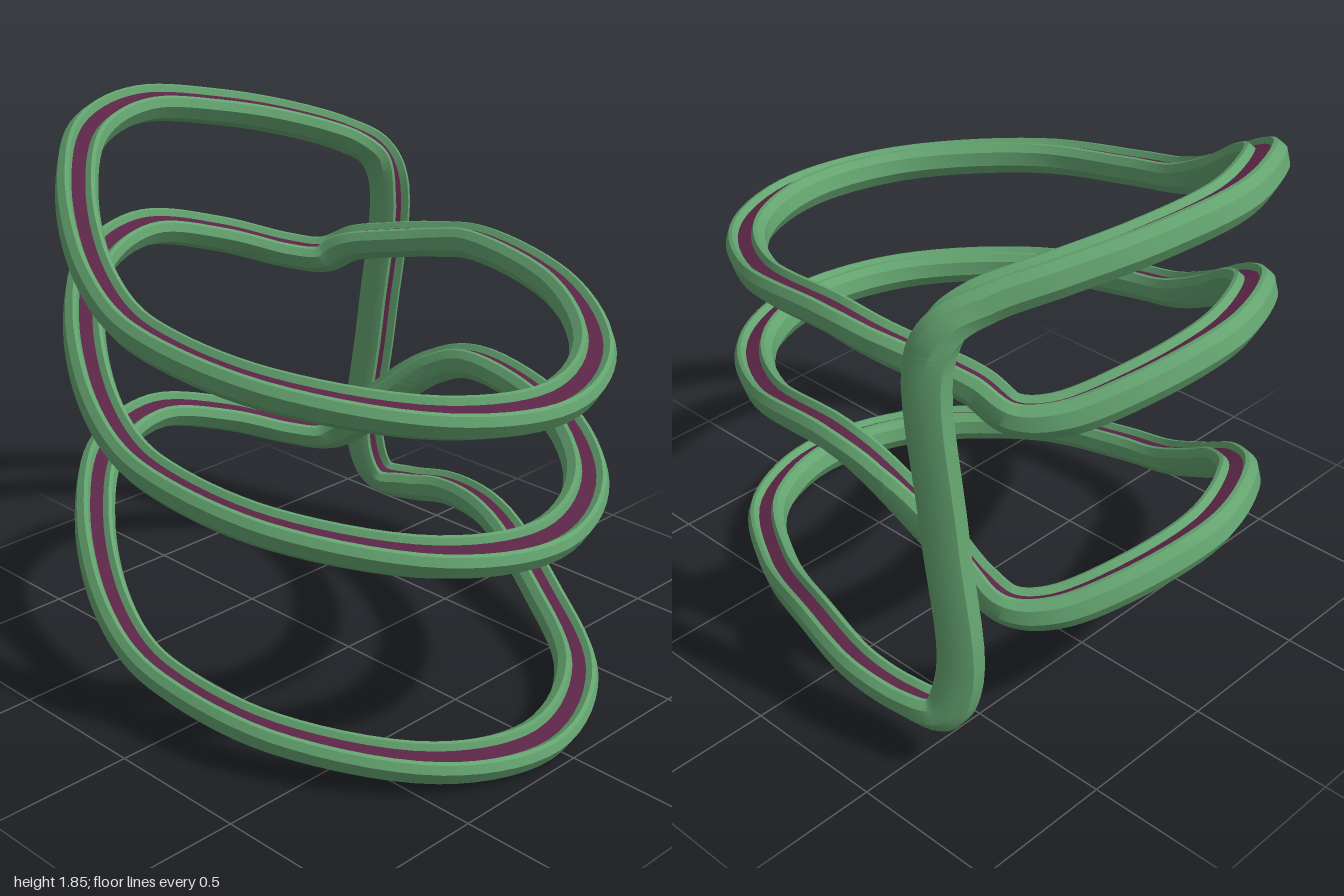
import * as THREE from 'three';
import { toCreasedNormals } from 'three/addons/utils/BufferGeometryUtils.js';

const V = (x, y, z) => new THREE.Vector3(x, y, z);

// One lap: back right -> right -> front -> left, climbing to the left
const LAP = [
  [0.4, 0.165, -0.56], [0.77, 0.1, -0.29], [0.92, 0.075, 0.08], [0.8, 0.097, 0.43],
  [0.4, 0.157, 0.73], [0, 0.21, 0.805], [-0.2, 0.255, 0.79], [-0.4, 0.36, 0.735],
  [-0.6, 0.505, 0.62], [-0.8, 0.628, 0.41], [-0.92, 0.655, 0.08],
];
const LAP_HEIGHTS = [0, 0.7, 1.14];
const LAP_UP = [0.38, 1, 0];
// The track is an oval: its section is wider along x in the same ratio
const OVAL = 1.28;

// Closed centre line with an up direction at every point
function buildPath() {
  const points = [], ups = [];
  const add = (p, up = LAP_UP) => { points.push(V(...p)); ups.push(V(...up)); };
  LAP_HEIGHTS.forEach((h, lap) => {
    LAP.forEach(([x, y, z]) => add([x, y + h, z]));
    if (lap === 2) return;
    // sharp back-left bend and ramp up to the next lap
    const next = LAP_HEIGHTS[lap + 1];
    const low = h + 0.56, high = next + 0.2;
    add([-0.85, h + 0.585, -0.2]);
    add([-0.72, h + 0.51, -0.4]);
    add([-0.61, h + 0.5, -0.48]);
    add([-0.5, low, -0.515]);
    add([-0.36, THREE.MathUtils.lerp(low, high, 0.42), -0.555]);
    add([-0.17, THREE.MathUtils.lerp(low, high, 0.86), -0.605]);
    add([0, next + 0.21, -0.62]);
  });
  // top corner, drop and return to the lowest lap
  add([-0.855, 1.75, -0.2]);
  add([-0.735, 1.69, -0.43]);
  add([-0.605, 1.62, -0.6]);
  add([-0.545, 1.555, -0.685], [0.8, 0.6, -0.2]);
  add([-0.52, 1.43, -0.725], [1, 0.1, 0]);
  add([-0.58, 0.9, -0.725], [1, 0.1, 0]);
  add([-0.64, 0.4, -0.725], [1, 0.1, 0]);
  add([-0.59, 0.245, -0.755], [0.7, 0.8, 0]);
  add([-0.45, 0.24, -0.79], [0.1, 1, 0]);
  add([-0.28, 0.268, -0.81], [0, 1, 0]);
  add([0, 0.275, -0.745], [0.1, 1, 0]);
  return { points, ups };
}

// Frames sampled along the path
function buildFrames() {
  const { points, ups } = buildPath();
  const path = new THREE.CatmullRomCurve3(points, true, 'centripetal');
  const upAt = (t) => {
    const f = t * ups.length, i = Math.floor(f) % ups.length;
    return ups[i].clone().lerp(ups[(i + 1) % ups.length], f - Math.floor(f));
  };
  const count = points.length * 7, frames = [];
  const stretch = V(OVAL, 1, 1);
  for (let i = 0; i < count; i++) {
    const t = i / count;
    const tangent = path.getTangent(t);
    const side = upAt(t).cross(tangent).normalize();
    const up = tangent.clone().cross(side).normalize();
    frames.push({ centre: path.getPoint(t), side: side.multiply(stretch), up: up.multiply(stretch) });
  }
  return frames;
}

// Sweep an open section, given anticlockwise, round the closed path
function sweep(frames, section) {
  const n = section.length, positions = [], index = [];
  frames.forEach(({ centre, side, up }, i) => {
    const next = (i + 1) % frames.length;
    section.forEach(([u, v], j) => {
      positions.push(...centre.clone().addScaledVector(side, u).addScaledVector(up, v).toArray());
      if (j === n - 1) return;
      const a = i * n + j, d = next * n + j;
      index.push(a, a + 1, d + 1, a, d + 1, d);
    });
  });
  const geometry = new THREE.BufferGeometry();
  geometry.setAttribute('position', new THREE.Float32BufferAttribute(positions, 3));
  geometry.setIndex(index);
  return toCreasedNormals(geometry, 0.6);
}

export function createModel() {
  const group = new THREE.Group();
  group.name = 'loopingTrack';
  const frames = buildFrames();

  // Left half of the grooved section, mirrored for the right half
  const half = [
    [-0.02, 0.034], [-0.032, 0.053], [-0.044, 0.051], [-0.06, 0.026],
    [-0.055, -0.022], [-0.024, -0.056],
  ];
  const section = [...half, ...half.map(([u, v]) => [-u, v]).reverse()];
  const addPart = (name, profile, color) => {
    const material = new THREE.MeshStandardMaterial({ color, side: THREE.DoubleSide });
    const mesh = new THREE.Mesh(sweep(frames, profile), material);
    mesh.name = name;
    group.add(mesh);
  };
  addPart('trackBody', section, 0x64a470);
  addPart('grooveFloor', [[0.02, 0.034], [-0.02, 0.034]], 0x5a2545);
  return group;
}
